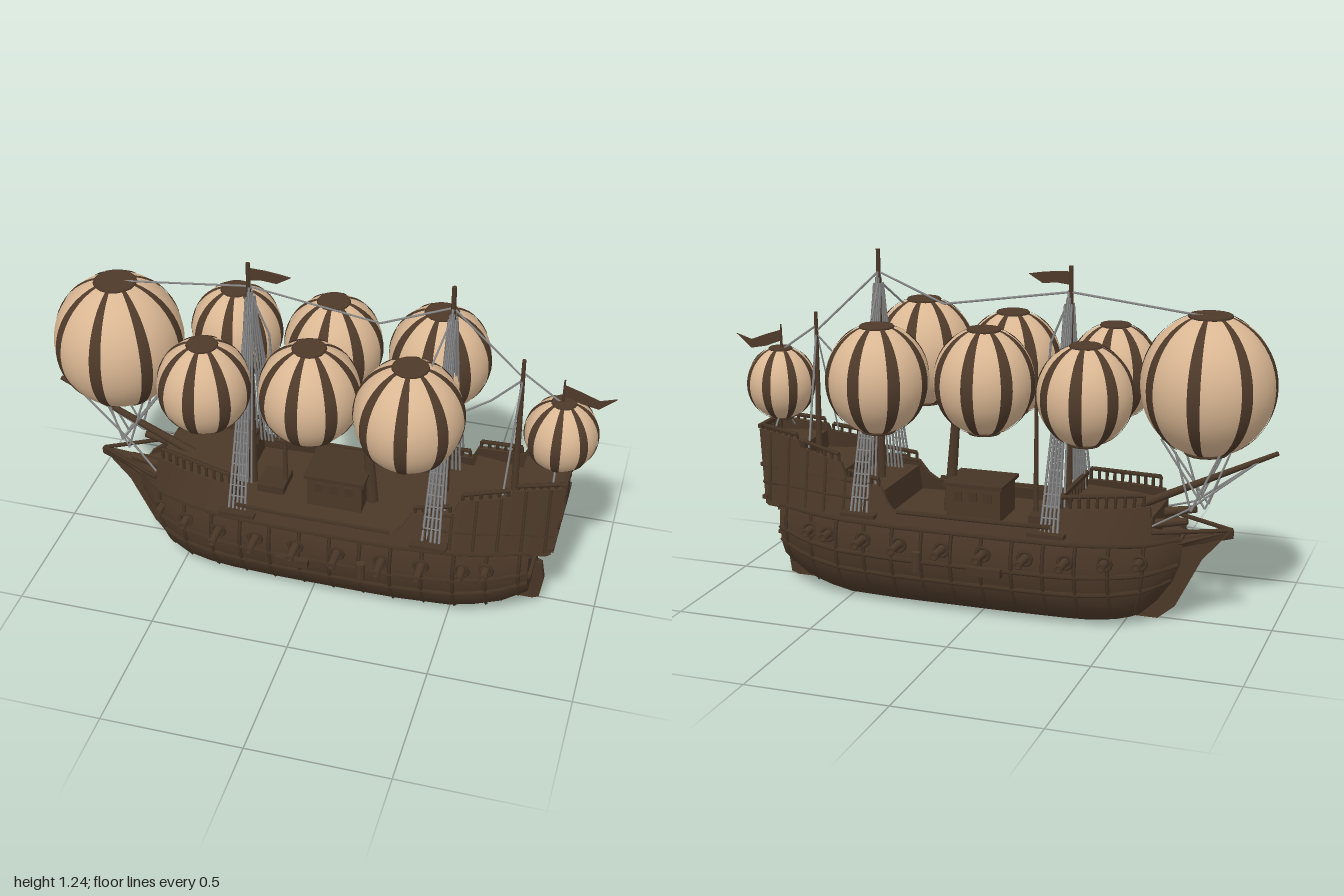
import * as THREE from 'three';
import { toCreasedNormals } from 'three/addons/utils/BufferGeometryUtils.js';

const mat = (name, color) => Object.assign(new THREE.MeshStandardMaterial({ color }), { name });

// piecewise linear lookup in [[key, value], ...]
function lerp(table, k) {
  if (k <= table[0][0]) return table[0][1];
  for (let i = 1; i < table.length; i++) {
    const [a, va] = table[i - 1], [b, vb] = table[i];
    if (k <= b) return va + (vb - va) * (k - a) / (b - a);
  }
  return table[table.length - 1][1];
}
const PLAN = [[-0.69, 0.05], [-0.64, 0.11], [-0.58, 0.16], [-0.48, 0.205], [-0.33, 0.238], [-0.1, 0.25], [0.3, 0.25], [0.55, 0.225], [0.77, 0.16], [0.87, 0.137]];
const FLARE = [[0, 0.6], [0.03, 0.76], [0.1, 0.92], [0.18, 1], [0.25, 1], [0.34, 0.9], [0.45, 0.76], [0.58, 0.72]];
const LIFT = [[-0.69, 0.07], [-0.6, 0.035], [-0.4, 0.012], [0.5, 0.01], [0.66, 0.035], [0.77, 0.1]];
const TOP = [[-0.68, 0.33], [-0.6, 0.36], [-0.59, 0.435], [-0.29, 0.42], [-0.28, 0.355], [0.3, 0.355], [0.33, 0.38], [0.36, 0.43], [0.5, 0.45], [0.52, 0.5], [0.69, 0.53], [0.7, 0.555], [0.87, 0.575]];
const side = (x, y) => lerp(PLAN, x) * lerp(FLARE, y);
const range = (a, b, n) => Array.from({ length: n + 1 }, (_, i) => a + (b - a) * i / n);

// skin over a row of closed rings, capped at both ends
function loft(rings) {
  const pos = [], n = rings[0].length;
  const mid = r => [0, 1, 2].map(k => r.reduce((s, p) => s + p[k], 0) / n);
  for (let j = 0; j < n; j++) {
    const k = (j + 1) % n;
    for (let i = 0; i < rings.length - 1; i++) {
      const a = rings[i][j], b = rings[i + 1][j], c = rings[i + 1][k], d = rings[i][k];
      pos.push(...a, ...b, ...c, ...a, ...c, ...d);
    }
    const f = rings[0], l = rings[rings.length - 1];
    pos.push(...mid(f), ...f[j], ...f[k], ...mid(l), ...l[k], ...l[j]);
  }
  const g = new THREE.BufferGeometry();
  g.setAttribute('position', new THREE.Float32BufferAttribute(pos, 3));
  return toCreasedNormals(g, 0.5);
}
const mirrored = half => [...half, ...half.slice().reverse().filter(p => p[2] > 0.001).map(([x, y, z]) => [x, y, -z])];

// point on the hull skin; the stem rakes forward with height
function skin(x, y) {
  const bow = lerp([[0, -0.6], [0.1, -0.655], [0.2, -0.69]], y);
  const lift = lerp(LIFT, x);
  return [x < -0.5 ? -0.5 + (x + 0.5) * (bow + 0.5) / -0.19 : x, lift + y * (0.34 - lift) / 0.34, side(x, y)];
}

export function createModel() {
  const wood = mat('darkWood', 0x4b3828), trim = mat('trimWood', 0x463525);
  const cloth = mat('balloonCloth', 0xdab793), band = mat('balloonBand', 0x4e3a2a), cord = mat('greyRope', 0x8a8a8a);
  band.side = THREE.DoubleSide;
  const model = new THREE.Group();
  model.name = 'balloonShip';

  const add = (name, geo, m, p = [0, 0, 0], parent = model) => {
    const mesh = new THREE.Mesh(geo, m);
    mesh.name = name;
    mesh.position.set(...p);
    parent.add(mesh);
    return mesh;
  };
  const box = (name, size, p, m = wood) => add(name, new THREE.BoxGeometry(...size), m, p);
  const beam = (name, a, b, r, m = wood, rTop = r, n = 5) => {
    const A = new THREE.Vector3(...a), d = new THREE.Vector3(...b).sub(A);
    const mesh = add(name, new THREE.CylinderGeometry(rTop, r, d.length(), n), m);
    mesh.position.copy(A).addScaledVector(d, 0.5);
    mesh.quaternion.setFromUnitVectors(new THREE.Vector3(0, 1, 0), d.normalize());
    return mesh;
  };
  const tube = (name, pts, r, m, n = 4) => add(name, new THREE.TubeGeometry(
    new THREE.CatmullRomCurve3(pts.map(p => new THREE.Vector3(...p))), pts.length * 2, r, n), m);
  const plate = (name, pts, t, m) => add(name, new THREE.ExtrudeGeometry(
    new THREE.Shape(pts.map(p => new THREE.Vector2(...p))), { depth: t, bevelEnabled: false }), m, [0, 0, -t / 2]);
  const both = f => [1, -1].forEach(f);

  // hull
  const levels = [0, 0.03, 0.1, 0.18, 0.25, 0.31];
  const hullX = [-0.69, -0.665, -0.64, -0.6, -0.55, ...range(-0.48, 0.77, 14)];
  add('hull', loft(hullX.map(x => {
    const half = levels.map(y => skin(x, y));
    const b = half[0], t = half[5];
    return mirrored([[b[0], b[1] - 0.005, 0], ...half, [t[0], t[1], 0]]);
  })), wood);
  plate('keelAndStem', [[-0.6, 0], [0.78, 0], [0.77, 0.12], [0.6, 0.04], [-0.5, 0.04], [-0.64, 0.2], [-0.66, 0.3], [-0.85, 0.345], [-0.75, 0.23], [-0.71, 0.15], [-0.66, 0.05]], 0.024, wood);
  plate('rudder', [[0.765, 0], [0.8, 0.01], [0.812, 0.09], [0.8, 0.16], [0.775, 0.17]], 0.026, trim);
  beam('sternPost', [0.775, 0.1, 0], [0.775, 0.32, 0], 0.01, trim);

  // bulwarks, following the stepped sheer
  both(s => {
    const xs = [...range(-0.68, -0.6, 3), -0.59, ...range(-0.5, -0.29, 3), -0.28, ...range(-0.1, 0.3, 3), 0.33, 0.36, 0.43, 0.5, 0.52, 0.6, 0.69, 0.7, 0.77, 0.87];
    add('bulwark', loft(xs.map(x => {
      const y = lerp(TOP, x), o = side(x, 0.31), t = side(x, y), x0 = Math.min(x, 0.84);
      const r = [[x0, 0.305, o], [x, y, t], [x, y, t - 0.018], [x0, 0.305, o - 0.018]];
      return s > 0 ? r : r.reverse().map(([a, b, c]) => [a, b, -c]);
    })), wood);
    tube('capRail', range(-0.27, 0.29, 6).map(x => [x, 0.358, s * side(x, 0.355)]), 0.009, trim);
    // moulding and stiles on the stern castle sides
    for (const y of [0.385, 0.44]) tube('castleMoulding', range(0.4, 0.85, 5).map(x => [x, y, s * (side(x, y) + 0.001)]), 0.006, trim);
    range(0.42, 0.82, 5).forEach(x => beam('castleStile', [x, 0.32, s * side(x, 0.32)], [x, lerp(TOP, x), s * side(x, lerp(TOP, x))], 0.006, trim));
  });

  // raised decks
  const castle = (name, x0, x1, y, lean = 0) => add(name, loft(range(x0, x1, 4).map((x, i) => {
    const xb = i === 4 ? x - lean : x;
    return mirrored([[xb, 0.3, 0], [xb, 0.3, side(x, 0.31) - 0.004], [x, y, side(x, y) - 0.004], [x, y, 0]]);
  })), wood);
  castle('forecastle', -0.6, -0.29, 0.4);
  castle('quarterDeck', 0.36, 0.55, 0.41);
  castle('poopDeck', 0.52, 0.72, 0.465);
  castle('sternCabin', 0.7, 0.865, 0.53, 0.03);

  // balustrades on the raised decks
  const balustrade = (x0, x1, n, h) => both(s => {
    const at = (x, d) => [x, lerp(TOP, x) + d, s * (side(x, lerp(TOP, x)) - 0.009)];
    const xs = range(x0, x1, n);
    xs.forEach(x => beam('baluster', at(x, -0.01), at(x, h), 0.006, trim, 0.006, 4));
    beam('handRail', at(x0, h), at(x1, h), 0.008, trim);
  });
  balustrade(-0.57, -0.3, 9, 0.04);
  balustrade(0.37, 0.49, 4, 0.025);
  balustrade(0.53, 0.68, 5, 0.025);
  balustrade(0.71, 0.86, 6, 0.016);
  range(-0.09, 0.09, 6).forEach(z => box('sternBaluster', [0.01, 0.07, 0.01], [0.862, 0.55, z], trim));
  box('sternRail', [0.016, 0.014, 0.21], [0.864, 0.587, 0], trim);
  box('forecastleRail', [0.014, 0.014, 0.33], [-0.29, 0.45, 0], trim);
  range(-0.15, 0.15, 8).forEach(z => box('forecastlePost', [0.01, 0.06, 0.01], [-0.29, 0.42, z], trim));

  // stern windows and mouldings
  for (const z of [-0.06, 0, 0.06]) {
    const w = add('sternWindow', new THREE.TorusGeometry(0.02, 0.004, 4, 8), trim, [0.853, 0.4, z]);
    w.rotation.y = Math.PI / 2;
    w.scale.y = 1.3;
  }
  box('sternDoor', [0.008, 0.08, 0.06], [0.863, 0.49, 0], trim);
  for (const [x, y, w] of [[0.84, 0.33, 0.27], [0.855, 0.445, 0.22], [0.772, 0.21, 0.3], [0.772, 0.3, 0.3]]) box('sternMoulding', [0.02, 0.014, w], [x, y, 0], trim);

  // ribs, wales, cannons and chain plates on both sides
  both(s => {
    const on = (x, y) => { const p = skin(x, y); return [p[0], p[1], s * p[2]]; };
    range(-0.58, 0.74, 12).forEach(x => tube('rib', [0.015, 0.06, 0.12, 0.18, 0.25, 0.3].map(y => on(x, y)), 0.007, trim));
    for (const y of [0.12, 0.19, 0.305]) tube('wale', range(-0.68, 0.77, 16).map(x => on(x, y)), 0.009, trim);
    [-0.57, -0.46, -0.33, -0.19, -0.04, 0.11, 0.27, 0.41, 0.55, 0.63].forEach(x => {
      const z = s * side(x, 0.25), out = s * (x < -0.4 || x > 0.5 ? 0.045 : 0.075);
      beam('cannon', [x, 0.25, z * 0.8], [x, 0.25, z + out], 0.017, wood, 0.013, 8);
      add('muzzleRing', new THREE.TorusGeometry(0.012, 0.005, 4, 8), wood, [x, 0.25, z + out]);
      add('gunPort', new THREE.TorusGeometry(0.024, 0.007, 4, 10), trim, [x, 0.25, z + s * 0.002]);
    });
    box('boardingStep', [0.12, 0.03, 0.03], [-0.05, 0.19, s * 0.262], trim);
    add('fender', new THREE.CylinderGeometry(0.017, 0.017, 0.07, 8), wood, [0.2, 0.2, s * 0.265]);
    for (const x of [-0.26, 0.43]) box('channel', [0.13, 0.014, 0.05], [x, 0.335, s * 0.222], trim);
  });

  // deckhouse, hatch, beak and bowsprit
  box('deckhouse', [0.2, 0.12, 0.17], [0.055, 0.37, 0]);
  box('deckhouseRoof', [0.22, 0.014, 0.19], [0.055, 0.435, 0], trim);
  for (const x of [0, 0.055, 0.11]) both(s => box('deckhouseWindow', [0.03, 0.035, 0.006], [x, 0.395, s * 0.087], trim));
  box('hatch', [0.1, 0.03, 0.12], [-0.19, 0.325, 0], trim);
  add('beak', loft([[-0.855, 0.345, 0.008], [-0.75, 0.315, 0.035], [-0.64, 0.285, 0.08]].map(([x, y, w]) =>
    mirrored([[x, y - 0.03, 0], [x, y - 0.02, w * 0.7], [x, y, w], [x, y, 0]]))), wood);
  both(s => beam('beakRail', [-0.85, 0.345, 0], [-0.6, 0.35, s * 0.13], 0.008, trim));
  beam('bowsprit', [-0.5, 0.39, 0], [-0.995, 0.63, 0], 0.016, wood, 0.008, 8);
  both(s => beam('bowChaser', [-0.58, 0.36, s * 0.07], [-0.71, 0.385, s * 0.07], 0.018, wood, 0.013, 8));

  // masts and posts
  for (const [x, y0, y1, r] of [[-0.27, 0.3, 1.22, 0.015], [0.435, 0.4, 1.24, 0.016], [0.68, 0.46, 1, 0.013], [0.82, 0.84, 0.945, 0.006], [-0.15, 0.3, 0.88, 0.01]])
    beam('mast', [x, y0, 0], [x, y1, 0], r, wood, r * 0.5, 8);
  beam('derrickPost', [0.175, 0.31, 0], [0.14, 0.75, 0], 0.022, wood, 0.015, 8);

  // shrouds with ratlines, and backstays closer to the mast
  for (const [x, top] of [[-0.265, 1.13], [0.435, 1.16]]) both(s => {
    const foot = k => [x + k * 0.015, 0.34, s * 0.215], head = [x, top, 0];
    const at = (k, t) => foot(k).map((v, i) => v + (head[i] - v) * t);
    for (let k = -2; k <= 2; k++) {
      beam('shroud', foot(k), [x + k * 0.004, top - 0.02 * Math.abs(k), s * 0.008], 0.0045, cord, 0.0045, 4);
      beam('backstay', [x + k * 0.014, 0.4, s * 0.13], [x + k * 0.006, top - 0.04, s * 0.012], 0.004, cord, 0.004, 4);
    }
    range(0.06, 0.85, 16).forEach(t => beam('ratline', at(-2, t), at(2, t), 0.003, cord, 0.003, 4));
  });

  // striped balloons: [x, y, z, radius]
  const balloons = [[-0.75, 0.843, 0.01, 0.229], [-0.38, 0.825, 0.18, 0.16], [-0.38, 0.825, -0.192, 0.162], [-0.015, 0.838, 0.147, 0.174], [-0.015, 0.838, -0.163, 0.173], [0.34, 0.843, 0.194, 0.185], [0.358, 0.826, -0.205, 0.179], [0.824, 0.729, 0, 0.124]];
  balloons.forEach(([x, y, z, r], i) => {
    const g = new THREE.Group();
    g.name = 'balloon';
    g.position.set(x, y, z);
    g.rotation.y = i === 0 ? 0 : 0.08 * (i % 3 - 1);
    model.add(g);
    const cut = 0.3, h = r * 1.06, w = Math.min(0.043 / r, 0.26);
    const env = add('envelope', new THREE.SphereGeometry(r, 32, 20, 0, Math.PI * 2, cut, Math.PI - 2 * cut), cloth, [0, 0, 0], g);
    env.scale.y = 1.06;
    for (let k = 0; k < 8; k++) {
      const stripe = add('stripe', new THREE.SphereGeometry(r + 0.003, 3, 20, k * Math.PI / 4 - w / 2, w, cut, Math.PI - 2 * cut), band, [0, 0, 0], g);
      stripe.scale.y = 1.06;
    }
    both(s => {
      add('endCap', new THREE.CylinderGeometry(r * 0.32, r * 0.32, 0.012, 16), band, [0, s * h * 0.958, 0], g);
      const ring = add('endRing', new THREE.TorusGeometry(r * 0.31, 0.006, 5, 16), band, [0, s * h * 0.965, 0], g);
      ring.rotation.x = Math.PI / 2;
    });
  });

  // rigging lines
  const rope = (...pts) => pts.slice(1).forEach((p, i) => beam('rope', pts[i], p, 0.004, cord, 0.004, 4));
  rope([-0.75, 1.075, 0], [-0.27, 1.13, 0], [0.19, 1.06, 0], [0.435, 1.16, 0], [0.68, 0.93, 0]);
  rope([-0.27, 1.12, 0], [-0.2, 0.95, 0], [-0.19, 0.8, 0]);
  rope([0.68, 0.92, 0], [0.58, 0.82, 0], [0.435, 0.72, 0]);
  rope([0.68, 0.95, 0], [0.82, 0.85, 0]);
  both(s => {
    rope([0.435, 1.13, 0], [0.4, 1.02, s * 0.15]);
    rope([-0.95, 0.61, 0], [-0.71, 0.42, s * 0.05], [-0.6, 0.37, s * 0.12]);
    rope([-0.81, 0.62, s * 0.06], [-0.72, 0.42, s * 0.07], [-0.66, 0.62, s * 0.06]);
    rope([-0.84, 0.63, 0], [-0.76, 0.42, s * 0.03], [-0.6, 0.65, s * 0.02]);
    rope([0.68, 0.93, 0], [0.66, 0.53, s * 0.13]);
    rope([0.82, 0.61, s * 0.04], [0.82, 0.55, s * 0.09]);
  });

  // pennants
  plate('forePennant', [[-0.265, 1.155], [-0.22, 1.16], [-0.17, 1.155], [-0.12, 1.185], [-0.16, 1.192], [-0.21, 1.198], [-0.265, 1.2]], 0.005, band);
  plate('sternPennant', [[0.82, 0.885], [0.88, 0.862], [0.94, 0.85], [0.998, 0.9], [0.94, 0.882], [0.88, 0.905], [0.82, 0.925]], 0.005, band);
  return model;
}
